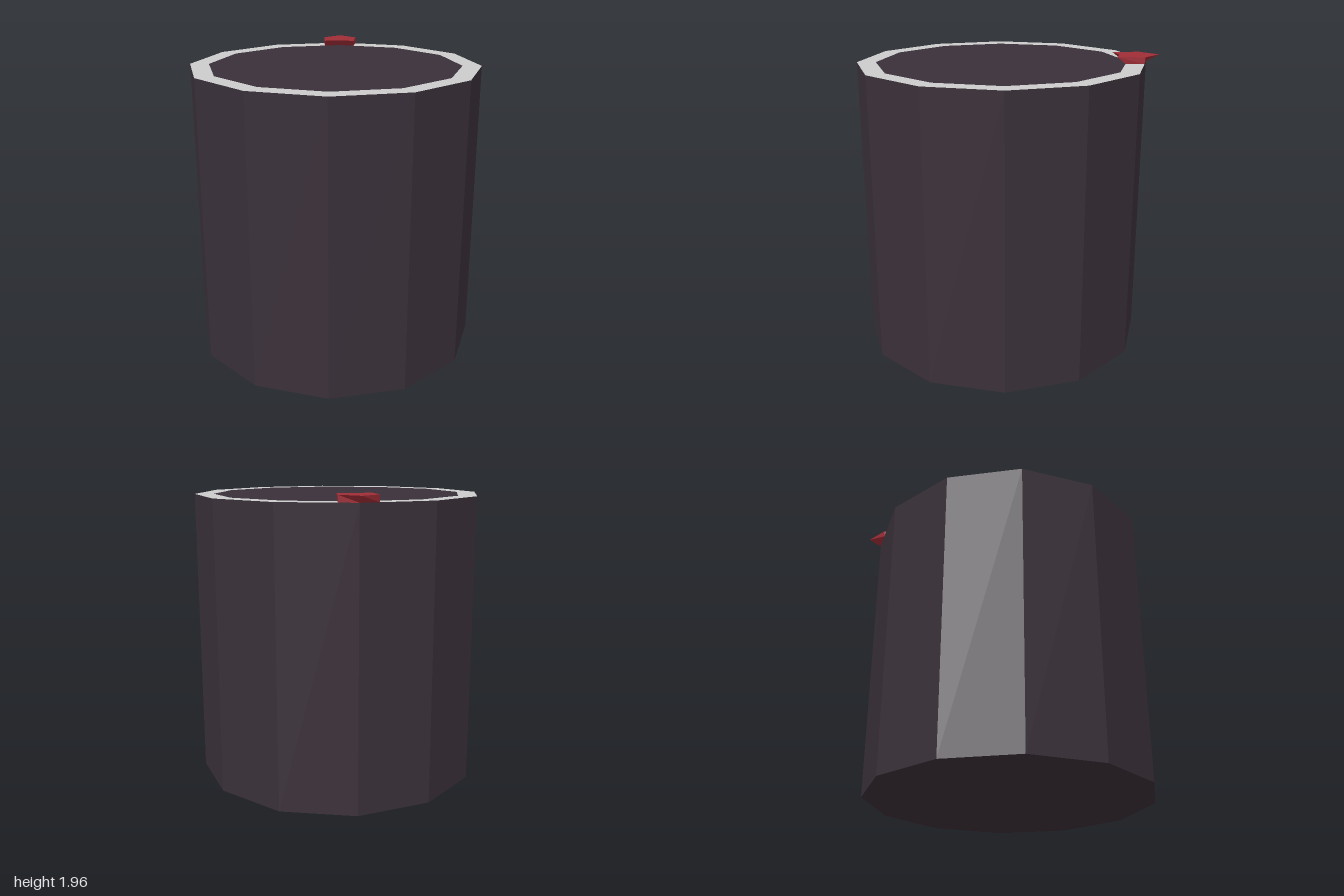
import * as THREE from 'three';

const SIDES = 12, R = 0.957, INNER = 0.832, H = 1.913, TOP = 1.957, CZ = 0.043;

const mat = (name, color) => {
  const m = new THREE.MeshStandardMaterial({ color, flatShading: true });
  m.name = name;
  return m;
};

// Pointer block: outline loops of the top and the smaller base, joined by side walls
function pointerGeometry() {
  const top = [[0, -1], [-0.12, -0.885], [-0.106, -0.705], [0, -0.735], [0.106, -0.705], [0.12, -0.885]];
  const base = [[0, -0.914], [-0.12, -0.882], [-0.106, -0.761], [0, -0.789], [0.106, -0.761], [0.12, -0.882]];
  const n = top.length, pos = [], index = [];
  top.forEach(([x, z]) => pos.push(x, TOP, z));
  base.forEach(([x, z]) => pos.push(x, H, z));
  for (let a = 0; a < n; a++) {
    const b = (a + 1) % n;
    index.push(a, a + n, b + n, a, b + n, b);
    // caps fan out from the notch (corner 3)
    if (a !== 3 && b !== 3) index.push(3, a, b, 3 + n, b + n, a + n);
  }
  const g = new THREE.BufferGeometry();
  g.setAttribute('position', new THREE.Float32BufferAttribute(pos, 3));
  g.setIndex(index);
  const flat = g.toNonIndexed();
  flat.computeVertexNormals();
  return flat;
}

export function createModel() {
  const group = new THREE.Group();
  const dark = mat('darkPlum', 0x3a3039);
  const grey = mat('lightGrey', 0xcccccc);
  const red = mat('red', 0xa02d37);

  const add = (name, geometry, material) => {
    const mesh = new THREE.Mesh(geometry, material);
    mesh.name = name;
    group.add(mesh);
  };

  // Twelve-sided knob body
  add('body', new THREE.CylinderGeometry(R, R, H, SIDES, 1, true).translate(0, H / 2, CZ), dark);
  add('bottomFace', new THREE.CircleGeometry(R, SIDES).rotateX(Math.PI / 2).translate(0, 0, CZ), dark);

  // Top face with its pale rim
  add('topFace', new THREE.CircleGeometry(INNER, SIDES).rotateX(-Math.PI / 2).translate(0, H, CZ), dark);
  add('rim', new THREE.RingGeometry(INNER, R, SIDES).rotateX(-Math.PI / 2).translate(0, H, CZ), grey);

  // Red pointer at the back of the rim
  add('pointer', pointerGeometry(), red);

  return group;
}
